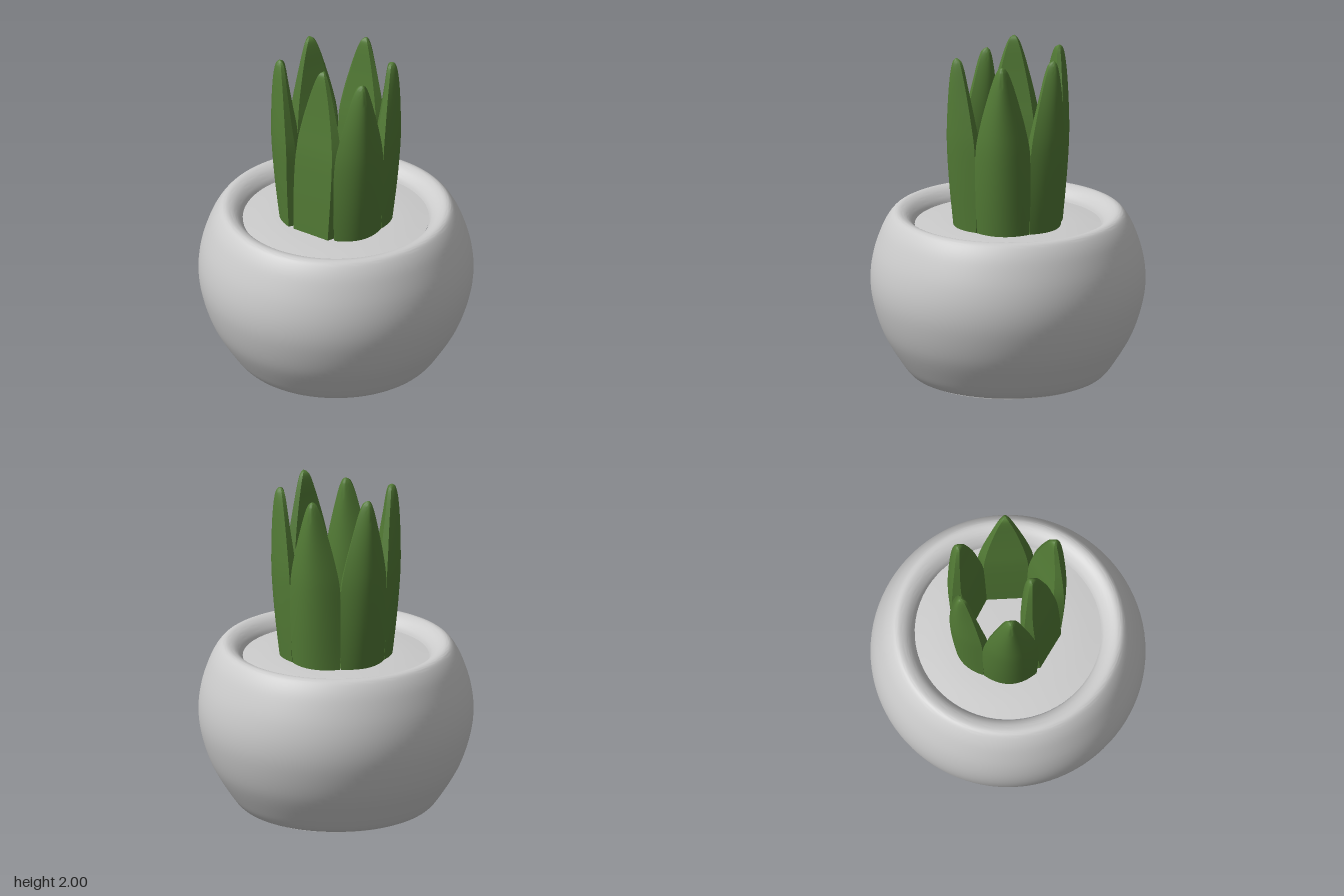
import * as THREE from 'three';
import { toCreasedNormals } from 'three/addons/utils/BufferGeometryUtils.js';

const grey = new THREE.MeshStandardMaterial({ color: 0xcccccc });
const green = new THREE.MeshStandardMaterial({ color: 0x527a35 });

// Smooth curve through a few [x, y] points
const smooth = (pts, n) =>
  new THREE.SplineCurve(pts.map(([x, y]) => new THREE.Vector2(x, y))).getPoints(n);

// Leaf stations: height, half width, inner face, side edge and outer bulge (radial distances)
const STATIONS = [
  [0.93, 0.155, 0.2, 0.275, 0.335],
  [1.2, 0.166, 0.215, 0.285, 0.365],
  [1.45, 0.164, 0.235, 0.29, 0.384],
  [1.62, 0.136, 0.26, 0.3, 0.386],
  [1.8, 0.09, 0.285, 0.312, 0.381],
  [1.92, 0.054, 0.3, 0.322, 0.371],
  [1.98, 0.028, 0.312, 0.328, 0.358],
  [2.0, 0.006, 0.33, 0.334, 0.342],
];

// Value of one station column at parameter t, interpolated smoothly
function station(column, t) {
  const curve = new THREE.SplineCurve(STATIONS.map((s, i) => new THREE.Vector2(i, s[column])));
  return curve.getPoint(t).y;
}

// Leaf: flat inner face and rounded back, lofted from base to tip
function leafGeometry() {
  const rows = 28, arc = 14, ring = arc + 3;
  const pos = [], index = [];
  for (let r = 0; r <= rows; r++) {
    const [y, w, xi, xe, xo] = [0, 1, 2, 3, 4].map((c) => station(c, r / rows));
    pos.push(xi, y, -0.8 * w);
    for (let a = 0; a <= arc; a++) {
      const s = -1 + (2 * a) / arc;
      pos.push(xe + (xo - xe) * (1 - s * s), y, s * w);
    }
    pos.push(xi, y, 0.8 * w);
  }
  for (let r = 0; r < rows; r++) {
    for (let k = 0; k < ring; k++) {
      const a = r * ring + k, b = r * ring + ((k + 1) % ring);
      index.push(a, a + ring, b, b, a + ring, b + ring);
    }
  }
  // End caps
  const top = rows * ring;
  for (let k = 1; k < ring - 1; k++) {
    index.push(0, k, k + 1, top, top + k + 1, top + k);
  }
  const g = new THREE.BufferGeometry();
  g.setAttribute('position', new THREE.Float32BufferAttribute(pos, 3));
  g.setIndex(index);
  return toCreasedNormals(g, 0.65);
}

export function createModel() {
  const model = new THREE.Group();
  model.name = 'pottedPlant';

  // Round pot with a rolled rim
  const wall = smooth([
    [0.53, 0.005], [0.58, 0.025], [0.64, 0.1], [0.74, 0.27], [0.8, 0.45], [0.818, 0.6],
    [0.8, 0.75], [0.75, 0.9], [0.7, 0.985], [0.66, 1.01], [0.61, 0.995], [0.57, 0.955], [0.55, 0.91],
  ], 72);
  const pot = new THREE.Mesh(
    toCreasedNormals(new THREE.LatheGeometry([new THREE.Vector2(0, 0), new THREE.Vector2(0.53, 0), ...wall], 96), 0.6),
    grey);
  pot.name = 'pot';
  model.add(pot);

  // Slightly domed soil
  const soil = new THREE.Mesh(
    new THREE.LatheGeometry(smooth([[0.555, 0.93], [0.4, 0.945], [0.2, 0.953], [0, 0.955]], 12), 64),
    grey);
  soil.name = 'soil';
  model.add(soil);

  // Ring of five leaves, plus one facing the same way as the first inside the gap
  const leaves = new THREE.Group();
  leaves.name = 'leaves';
  const geometry = leafGeometry();
  for (let i = 0; i < 6; i++) {
    const leaf = new THREE.Mesh(geometry, green);
    leaf.name = 'leaf' + (i + 1);
    if (i === 3) {
      leaf.position.set(-0.485, 0, 0.015);
    } else {
      leaf.rotation.y = THREE.MathUtils.degToRad(3 - i * 60);
    }
    leaves.add(leaf);
  }
  model.add(leaves);
  return model;
}
